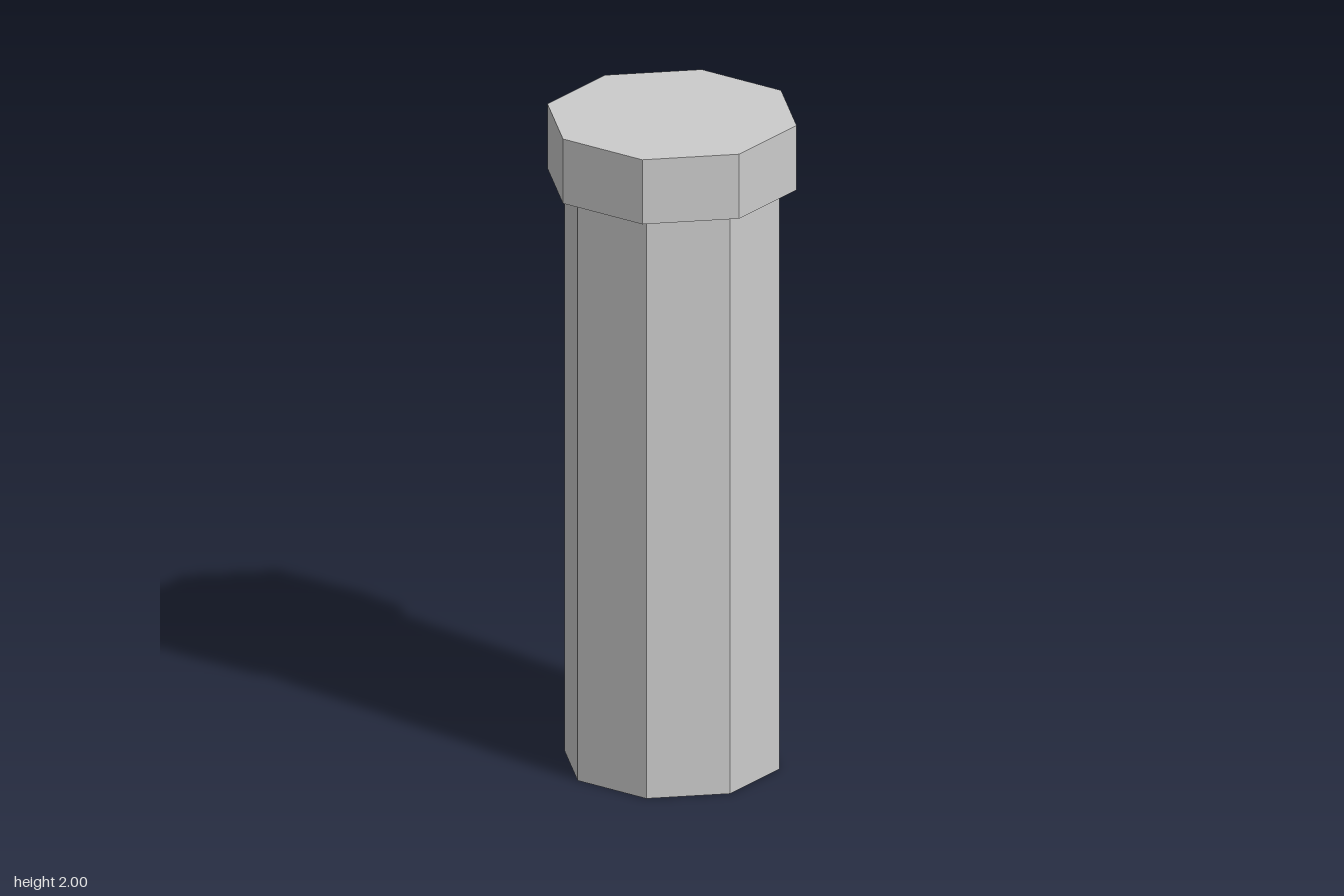
import * as THREE from 'three';

const SIDES = 8;

export function createModel() {
  const group = new THREE.Group();
  group.name = 'octagonalPillar';
  const material = new THREE.MeshStandardMaterial({ color: 0xcccccc, flatShading: true });

  // Upright octagonal prism from y = bottom to y = top, with a corner facing the front
  function addPrism(name, radius, bottom, top) {
    const mesh = new THREE.Mesh(
      new THREE.CylinderGeometry(radius, radius, top - bottom, SIDES),
      material
    );
    mesh.name = name;
    mesh.position.y = (bottom + top) / 2;
    group.add(mesh);
  }

  addPrism('shaft', 0.32, 0, 1.8);
  addPrism('cap', 0.37, 1.8, 2);

  return group;
}
